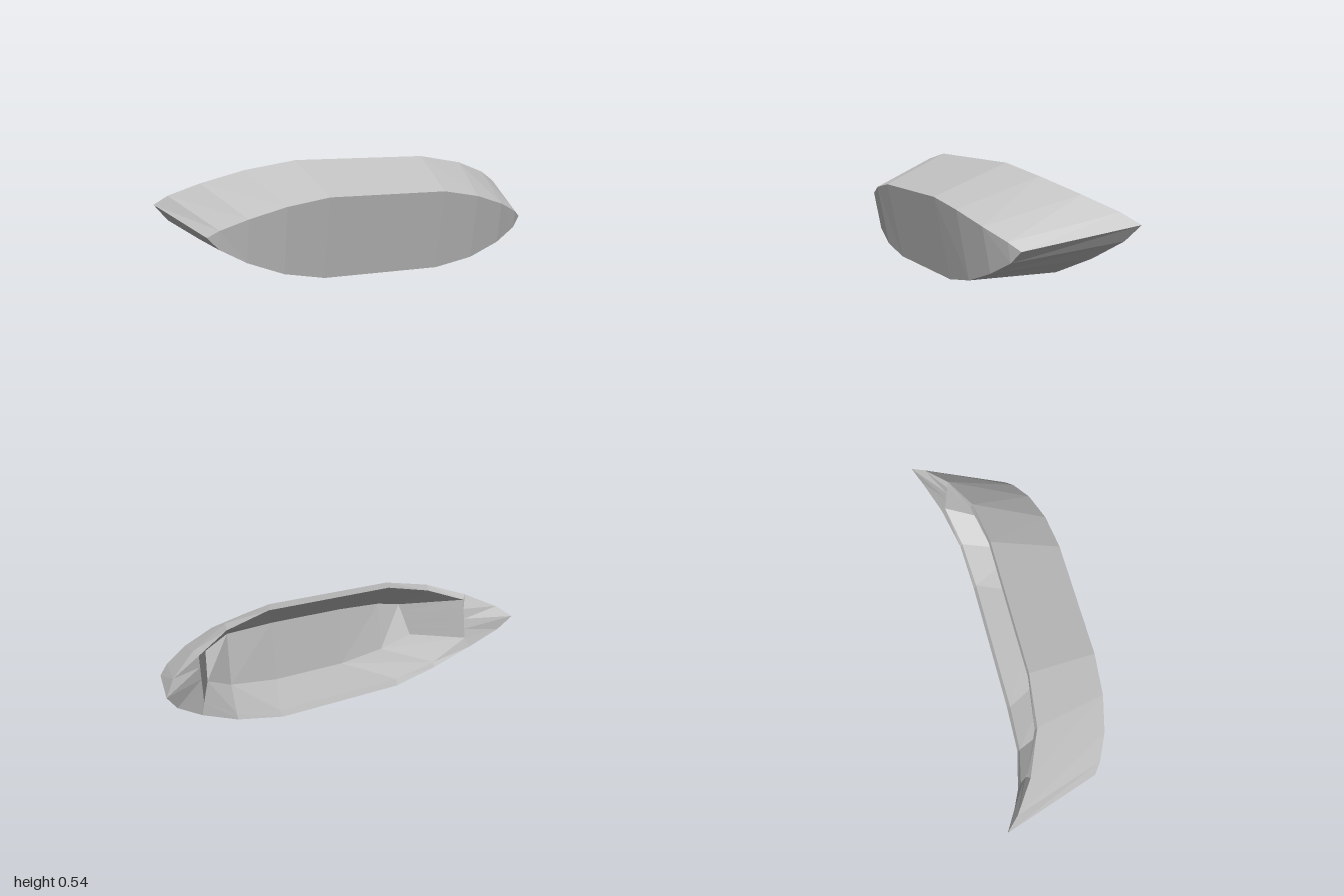
import * as THREE from 'three';

// Half loops on the +x side, running from the top edge round the tip to the bottom edge.
const FRONT = [
  [0.3, 0.395, 0.317], [0.5, 0.36, 0.3], [0.67, 0.307, 0.26], [0.79, 0.255, 0.205], [0.84, 0.22, 0.168],
  [0.79, 0.165, 0.19], [0.67, 0.1, 0.22], [0.5, 0.037, 0.237], [0.3, 0, 0.235],
];
const BACK = [
  [0.35, 0.543, -0.033], [0.6, 0.5, -0.063], [0.8, 0.435, -0.15], [0.94, 0.37, -0.25], [1, 0.32, -0.315],
  [0.94, 0.245, -0.275], [0.8, 0.15, -0.21], [0.6, 0.055, -0.157], [0.35, 0, -0.145],
];
const OPENING = [
  [0.36, 0.515, -0.04], [0.6, 0.47, -0.075], [0.78, 0.41, -0.16], [0.78, 0.36, -0.168], [0.78, 0.305, -0.175],
  [0.78, 0.25, -0.183], [0.78, 0.2, -0.19], [0.6, 0.08, -0.145], [0.36, 0.03, -0.13],
];
const RECESS = [
  [0.21, 0.36, 0.2], [0.47, 0.35, 0.195], [0.6, 0.33, 0.173], [0.608, 0.29, 0.155], [0.615, 0.25, 0.137],
  [0.623, 0.207, 0.118], [0.63, 0.165, 0.1], [0.475, 0.09, 0.16], [0.21, 0.055, 0.17],
];

// Full loop, clockwise seen from the front
const mirrored = (half) => [...half, ...half.map(([x, y, z]) => [-x, y, z]).reverse()];

// Unshared corners give flat facets
function facets(name, triangles, material) {
  const geometry = new THREE.BufferGeometry();
  geometry.setAttribute('position', new THREE.Float32BufferAttribute(triangles.flat(2), 3));
  geometry.computeVertexNormals();
  const mesh = new THREE.Mesh(geometry, material);
  mesh.name = name;
  return mesh;
}

// Ring of facets between two loops
function band(a, b) {
  const out = [];
  for (let i = 0; i < a.length; i++) {
    const j = (i + 1) % a.length;
    out.push([a[i], a[j], b[i]], [a[j], b[j], b[i]]);
  }
  return out;
}

// Closes a loop with vertical columns from tip to tip
function cap(loop, facingBack) {
  const out = [];
  const row = (k) => [loop[(13 + k) % 18], loop[(31 - k) % 18]];
  for (let k = 0; k < 9; k++) {
    const [t, b] = row(k);
    const [t2, b2] = row(k + 1);
    if (k > 0) out.push([t, b, b2]);
    if (k < 8) out.push([t, b2, t2]);
    else continue;
  }
  return facingBack ? out.map(([p, q, r]) => [p, r, q]) : out;
}

export function createModel() {
  const group = new THREE.Group();
  group.name = 'hollowShell';
  const grey = new THREE.MeshStandardMaterial({ color: 0xc0c0c0 });
  grey.name = 'lightGrey';

  const [front, back, opening, recess] = [FRONT, BACK, OPENING, RECESS].map(mirrored);
  group.add(
    facets('frontFace', cap(front, false), grey),
    facets('outerShell', band(front, back), grey),
    facets('backRim', band(back, opening), grey),
    facets('recessWalls', band(opening, recess), grey),
    facets('recessFloor', cap(recess, true), grey),
  );
  return group;
}
